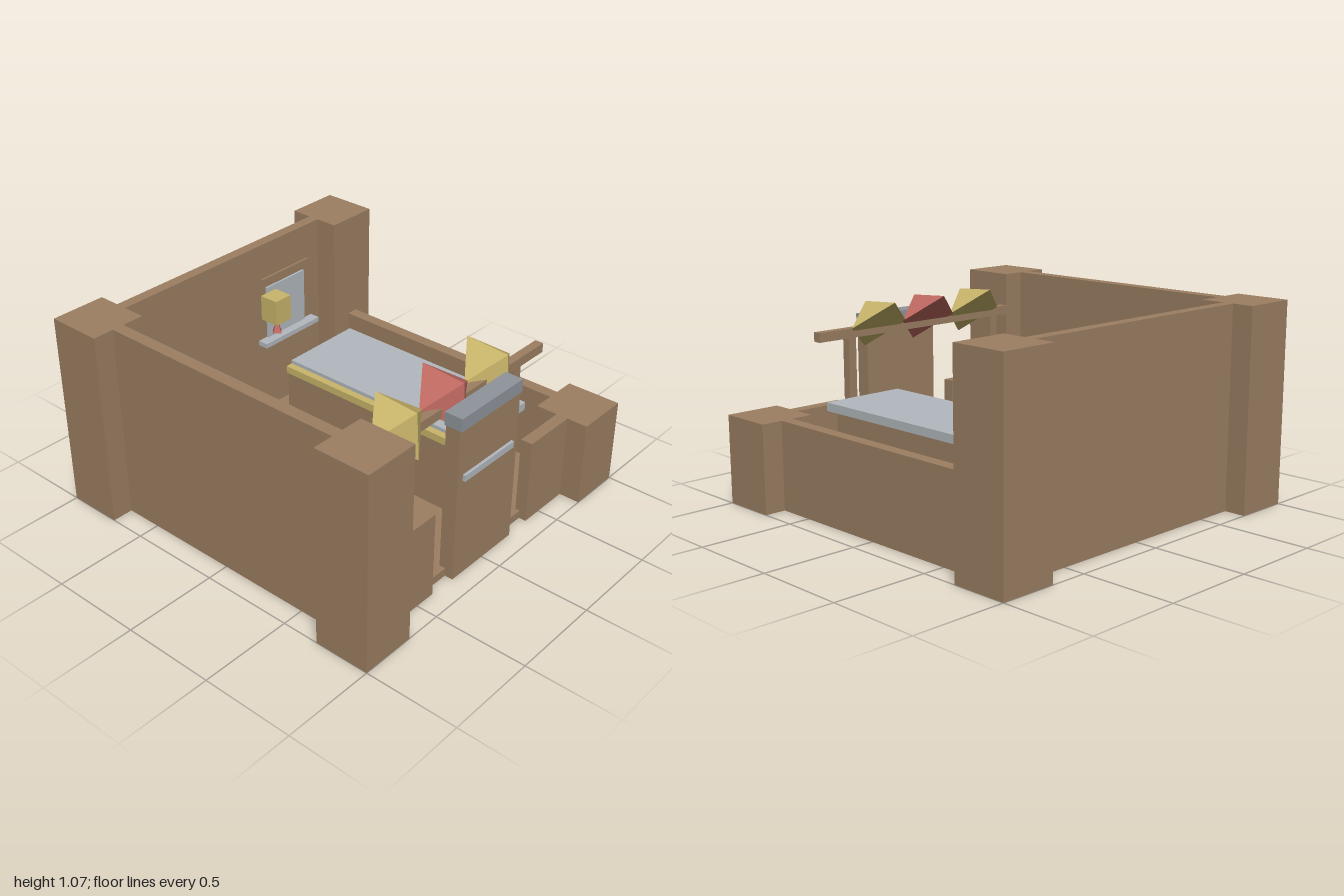
import * as THREE from 'three';

const mat = (name, color) => {
  const m = new THREE.MeshStandardMaterial({ color, flatShading: true });
  m.name = name;
  return m;
};

export function createModel() {
  const root = new THREE.Group();
  root.name = 'marketRoom';
  const brown = mat('earthBrown', 0x9c7f62);
  const yellow = mat('strawYellow', 0xc9b56b);
  const red = mat('softRed', 0xc06a62);
  const pale = mat('paleBlueGrey', 0xb2b9be);
  const grey = mat('slateGrey', 0x8f959c);

  const add = (name, geometry, material, x = 0, y = 0, z = 0) => {
    const mesh = new THREE.Mesh(geometry, material);
    mesh.name = name;
    mesh.position.set(x, y, z);
    root.add(mesh);
    return mesh;
  };
  // Box given by its limits on each axis
  const box = (name, material, x0, x1, y0, y1, z0, z1) =>
    add(name, new THREE.BoxGeometry(x1 - x0, y1 - y0, z1 - z0), material,
      (x0 + x1) / 2, (y0 + y1) / 2, (z0 + z1) / 2);

  const TALL = 1.065, LOW = 0.47, FLOOR = 0.045;

  // Floor and walls: tall at the back and right, low at the front and left
  box('floor', brown, -0.88, 0.88, 0, FLOOR, -0.885, 0.845);
  box('backWall', brown, -0.71, 0.71, 0, TALL, -0.885, -0.825);
  box('rightWall', brown, -0.885, -0.82, 0, TALL, -0.71, 0.71);
  box('leftWall', brown, 0.82, 0.885, 0, LOW, -0.71, 0.71);
  for (const s of [-1, 1]) {
    box('frontWall', brown, s < 0 ? -0.71 : 0.385, s < 0 ? -0.385 : 0.71, 0, LOW, 0.82, 0.885);
  }

  // Corner pillars
  for (const sx of [-1, 1]) for (const sz of [-1, 1]) {
    const h = sx > 0 && sz > 0 ? LOW : TALL;
    add('cornerPillar', new THREE.BoxGeometry(0.3, h, 0.3), brown, sx * 0.85, h / 2, sz * 0.85);
  }

  // Door with cap and bar
  box('door', brown, -0.235, 0.235, 0, 0.85, 0.81, 0.89);
  box('doorCap', grey, -0.235, 0.235, 0.85, 0.92, 0.8, 0.9);
  box('doorBar', pale, -0.195, 0.19, 0.56, 0.595, 0.885, 0.905);

  // Awning frame and tilted four-sided canopies
  box('awningBeam', brown, -0.705, 0.635, 0.835, 0.885, 0.697, 0.743);
  for (const x of [-0.597, 0.425]) {
    box('awningPost', brown, x - 0.024, x + 0.024, FLOOR, 0.84, 0.697, 0.743);
  }
  [[-0.428, yellow], [-0.087, red], [0.255, yellow]].forEach(([x, m]) => {
    add('canopy', new THREE.ConeGeometry(0.183, 0.16, 4), m, x, 0.944, 0.737).rotation.x = Math.PI / 4;
  });

  // Counter
  box('counterTop', pale, 0.14, 0.615, 0.48, 0.525, -0.51, 0.68);
  box('counterBody', brown, 0.165, 0.58, FLOOR, 0.48, -0.47, 0.64);
  box('counterPanel', brown, 0.138, 0.165, FLOOR, 0.485, -0.535, 0.64);
  box('counterTrim', yellow, 0.1, 0.14, 0.465, 0.505, -0.51, 0.63);

  // Crates, each with one faceted fruit
  [[-0.215, -0.43, brown], [-0.47, -0.13, brown], [-0.122, 0.125, yellow], [-0.385, 0.38, red]]
    .forEach(([x, z, m], i) => {
      box('crate', brown, x - 0.15, x + 0.15, FLOOR, 0.28, z - 0.135, z + 0.135);
      const fruit = add('fruit', new THREE.IcosahedronGeometry(0.066, 0), m, x, 0.33, z);
      fruit.rotation.set(0, i * 0.5, 0.553, 'YXZ');
    });

  // Round sign on a stem
  const disc = add('signDisc', new THREE.CylinderGeometry(0.1, 0.1, 0.025, 8), yellow, -0.555, 0.505, -0.408);
  disc.rotation.set(Math.PI / 2, 0.2, 0);
  box('signStem', pale, -0.573, -0.535, FLOOR, 0.51, -0.43, -0.388);

  // Window on the back wall
  box('windowPane', pale, 0.275, 0.57, 0.49, 0.805, -0.826, -0.813);
  box('windowLintel', brown, 0.24, 0.605, 0.838, 0.865, -0.826, -0.812);
  box('windowSill', pale, 0.21, 0.635, 0.47, 0.497, -0.826, -0.765);

  // Lantern with hanging tip
  box('lantern', yellow, 0.07, 0.18, 0.75, 0.89, -0.655, -0.545);
  add('lanternTip', new THREE.ConeGeometry(0.032, 0.07, 4), red, 0.125, 0.71, -0.597);

  return root;
}
